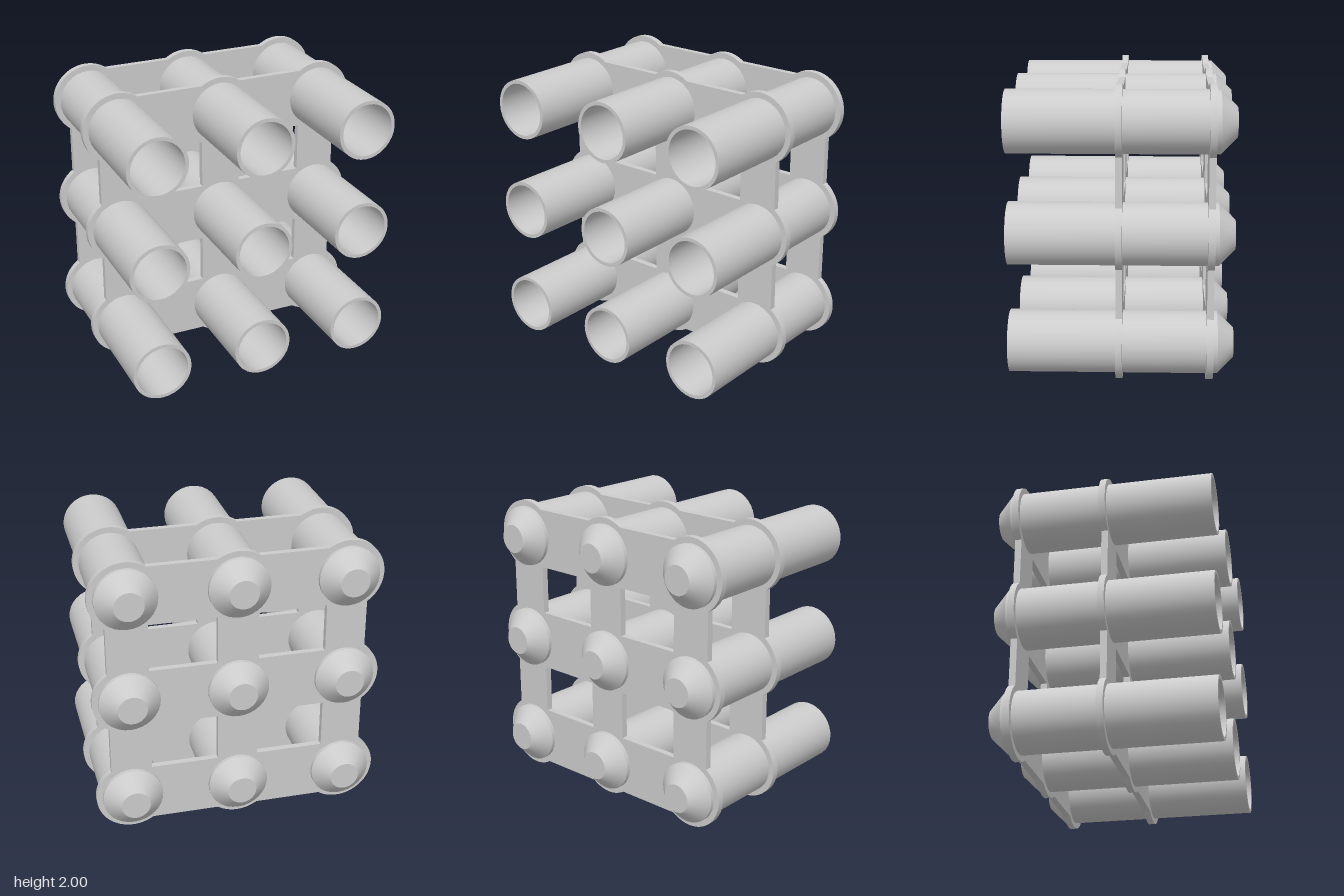
import * as THREE from 'three';
import { toCreasedNormals } from 'three/addons/utils/BufferGeometryUtils.js';

const PITCH = 0.75;      // spacing of the 3 x 3 grid
const COLLAR = 0.25;     // collar radius on the plates
const A = 0.97;          // angle at which the straight bars meet a collar
const BAR_X = COLLAR * Math.cos(A), BAR_Y = COLLAR * Math.sin(A);

// Lattice plate: scalloped outline with four rectangular windows
function plateGeometry(thickness) {
  const P = Math.PI;
  const shape = new THREE.Shape();
  const nodes = [
    [-1, -1, P - A, 2 * P - A], [0, -1, P + A, 2 * P - A], [1, -1, P + A, 2 * P + A],
    [1, 0, -A, A], [1, 1, -A, P - A], [0, 1, A, P - A],
    [-1, 1, A, P + A], [-1, 0, P - A, P + A],
  ];
  for (const [i, j, from, to] of nodes) {
    shape.absarc(i * PITCH, j * PITCH, COLLAR, from, to, false);
  }
  for (const i of [-1, 0]) {
    for (const j of [-1, 0]) {
      const x0 = i * PITCH + BAR_X, x1 = (i + 1) * PITCH - BAR_X;
      const y0 = j * PITCH + BAR_Y, y1 = (j + 1) * PITCH - BAR_Y;
      const hole = new THREE.Path();
      hole.moveTo(x0, y0).lineTo(x0, y1).lineTo(x1, y1).lineTo(x1, y0).closePath();
      shape.holes.push(hole);
    }
  }
  const geo = new THREE.ExtrudeGeometry(shape, { depth: thickness, bevelEnabled: false, curveSegments: 20 });
  geo.translate(0, 0, -thickness / 2);
  return toCreasedNormals(geo, 0.5);
}

// Open tube with a tapered, closed rear end
function tubeGeometry() {
  const profile = [
    [0, -0.75], [0.1, -0.75], [0.21, -0.64], [0.21, 0.75],
    [0.185, 0.75], [0.185, -0.6], [0, -0.6],
  ].map(([r, z]) => new THREE.Vector2(r, z));
  const geo = new THREE.LatheGeometry(profile, 32);
  geo.rotateX(Math.PI / 2);
  return toCreasedNormals(geo, 0.5);
}

export function createModel() {
  const model = new THREE.Group();
  model.name = 'tubeRack';
  const material = new THREE.MeshStandardMaterial({ color: 0xcccccc });

  // Two plates holding the tubes
  const plate = plateGeometry(0.045);
  for (const [name, z] of [['middlePlate', 0.013], ['rearPlate', -0.59]]) {
    const mesh = new THREE.Mesh(plate, material);
    mesh.name = name;
    mesh.position.set(0, 1, z);
    model.add(mesh);
  }

  // Nine tubes in a square grid
  const tube = tubeGeometry();
  for (const i of [-1, 0, 1]) {
    for (const j of [-1, 0, 1]) {
      const mesh = new THREE.Mesh(tube, material);
      mesh.name = 'tube';
      mesh.position.set(i * PITCH, 1 + j * PITCH, 0);
      model.add(mesh);
    }
  }
  return model;
}
